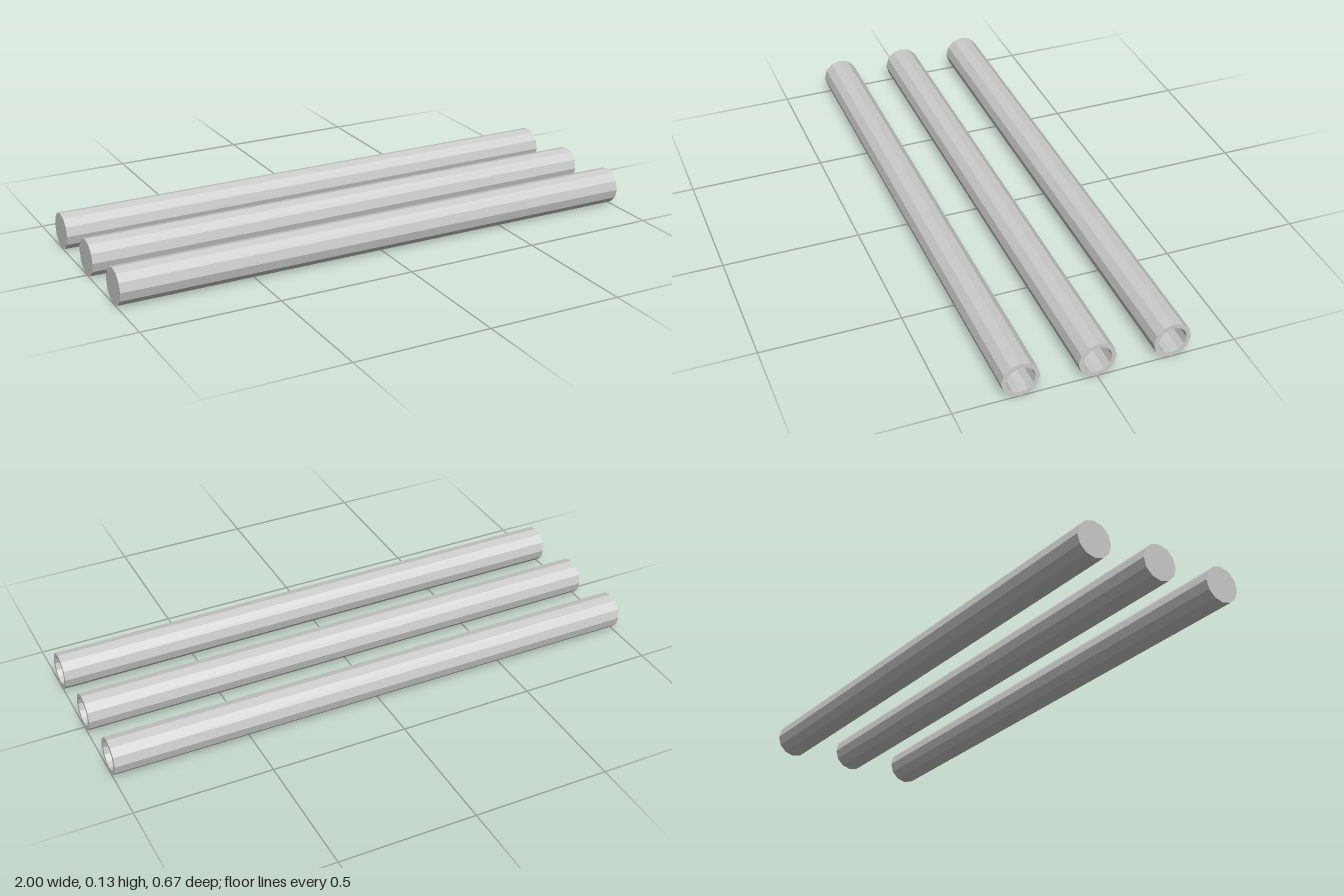
import * as THREE from 'three';

const SIDES = 12;
const OUTER = 0.067;
const INNER = 0.051;
const SPACING = 0.267;
const WALL = OUTER - INNER;

export function createModel() {
  const model = new THREE.Group();
  model.name = 'tubes';
  const material = new THREE.MeshStandardMaterial({ color: 0xcccccc, flatShading: true });

  // Hollow tube profile: closed at the -x end, open at the +x end
  const profile = [
    [0, -1], [OUTER, -1], [OUTER, 1], [INNER, 1], [INNER, -1 + WALL], [0, -1 + WALL],
  ].map(([r, y]) => new THREE.Vector2(r, y));
  const geometry = new THREE.LatheGeometry(profile, SIDES);
  geometry.rotateZ(-Math.PI / 2);

  // Three parallel tubes lying on the ground
  ['backTube', 'middleTube', 'frontTube'].forEach((name, i) => {
    const tube = new THREE.Mesh(geometry, material);
    tube.name = name;
    tube.position.set(0, OUTER, (i - 1) * SPACING);
    model.add(tube);
  });

  return model;
}
